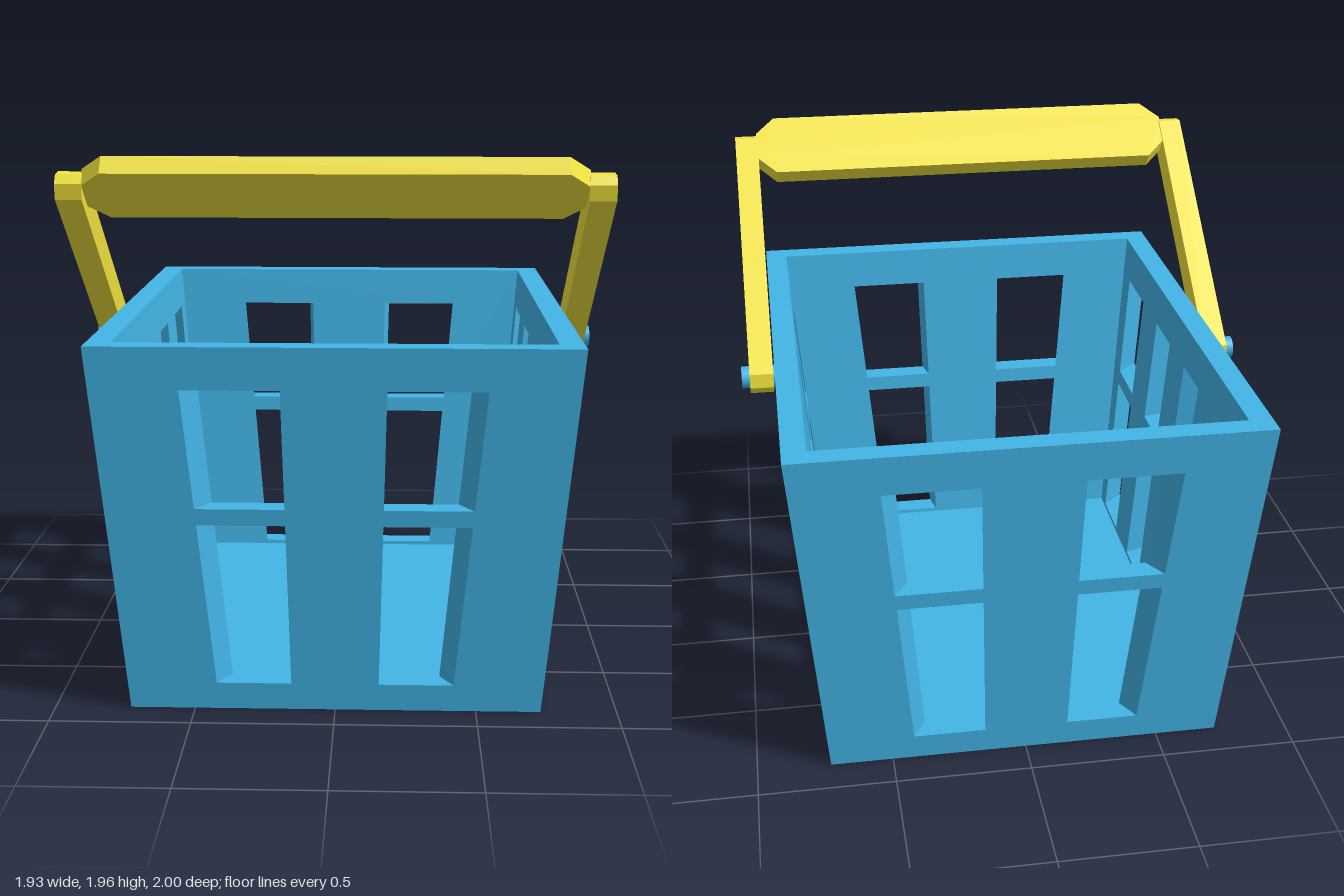
import * as THREE from 'three';

const HEIGHT = 1.335;
const THICK = 0.085;
const blue = new THREE.MeshStandardMaterial({ color: 0x42b4e6 });
const yellow = new THREE.MeshStandardMaterial({ color: 0xf0e23c });

// Outer half sizes of the tapering basket at height y
const halfX = (y) => 0.73 + (0.11 * y) / HEIGHT;
const halfZ = (y) => 0.87 + (0.13 * y) / HEIGHT;

const points = (list) => list.map(([x, y]) => new THREE.Vector2(x, y));

// Wall with window holes, leaned and mitred to fit the tapered basket.
// columns: [u0, u1] at the sill and [u0, u1] at the head of each window column
function makeWall(name, halfWidth, distance, columns) {
  const w0 = halfWidth(0), w1 = halfWidth(HEIGHT);
  const shape = new THREE.Shape(points([[-w0, 0], [w0, 0], [w1, HEIGHT], [-w1, HEIGHT]]));
  const sill = 0.1, head = 1.185;
  for (const [low, high] of columns) {
    const at = (i, y) => THREE.MathUtils.mapLinear(y, sill, head, low[i], high[i]);
    for (const [y0, y1] of [[sill, 0.7], [0.76, head]]) {
      shape.holes.push(new THREE.Path(points([
        [at(0, y0), y0], [at(0, y1), y1], [at(1, y1), y1], [at(1, y0), y0],
      ])));
    }
  }
  const geo = new THREE.ExtrudeGeometry(shape, { depth: 1, bevelEnabled: false });
  const pos = geo.attributes.position;
  for (let i = 0; i < pos.count; i++) {
    const u = pos.getX(i), y = pos.getY(i), inward = 1 - pos.getZ(i);
    const w = halfWidth(y);
    pos.setXYZ(i, (u * (w - THICK * inward)) / w, y, distance(y) - THICK * inward);
  }
  geo.computeVertexNormals();
  const mesh = new THREE.Mesh(geo, blue);
  mesh.name = name;
  return mesh;
}

// Chamfered rectangle extruded and centred on its depth
function chamferedBar(x0, x1, y0, y1, c, depth) {
  const shape = new THREE.Shape(points([
    [x0 + c, y0], [x1 - c, y0], [x1, y0 + c], [x1, y1 - c],
    [x1 - c, y1], [x0 + c, y1], [x0, y1 - c], [x0, y0 + c],
  ]));
  return new THREE.ExtrudeGeometry(shape, { depth, bevelEnabled: false }).translate(0, 0, -depth / 2);
}

export function createModel() {
  const model = new THREE.Group();
  model.name = 'basket';

  // Front and back walls, two window columns each
  const endColumns = [
    [[-0.42, -0.155], [-0.52, -0.18]],
    [[0.155, 0.42], [0.18, 0.52]],
  ];
  const front = makeWall('frontWall', halfX, halfZ, endColumns);
  const back = makeWall('backWall', halfX, halfZ, endColumns);
  back.rotation.y = Math.PI;
  model.add(front, back);

  // Side walls, four window columns each, listed along z
  const sideColumns = [
    [[-0.78, -0.56], [-0.86, -0.62]],
    [[-0.355, -0.145], [-0.375, -0.15]],
    [[0.075, 0.305], [0.09, 0.325]],
    [[0.54, 0.79], [0.58, 0.86]],
  ];
  const flipped = sideColumns.map((c) => c.map(([a, b]) => [-b, -a])).reverse();
  const left = makeWall('leftWall', halfZ, halfX, flipped);
  left.rotation.y = Math.PI / 2;
  const right = makeWall('rightWall', halfZ, halfX, sideColumns);
  right.rotation.y = -Math.PI / 2;
  model.add(left, right);

  // Floor
  const floor = new THREE.Mesh(new THREE.BoxGeometry(1.32, 0.085, 1.6), blue);
  floor.name = 'floor';
  floor.position.y = 0.0425;
  model.add(floor);

  // Handle swung forward about the side pins
  const handle = new THREE.Group();
  handle.name = 'handle';
  handle.position.y = 1.2;
  handle.rotation.x = THREE.MathUtils.degToRad(-38);
  model.add(handle);

  const armGeo = chamferedBar(-0.065, 1.1, -0.057, 0.057, 0.038, 0.09).rotateY(-Math.PI / 2);
  const pinGeo = new THREE.CylinderGeometry(0.042, 0.042, 0.17, 24).rotateZ(Math.PI / 2);
  for (const [side, sign] of [['left', 1], ['right', -1]]) {
    const arm = new THREE.Mesh(armGeo, yellow);
    arm.name = side + 'HandleArm';
    arm.position.x = sign * 0.89;
    handle.add(arm);

    const pin = new THREE.Mesh(pinGeo, blue);
    pin.name = side + 'PivotPin';
    pin.position.set(sign * 0.88, 1.2, -0.01);
    model.add(pin);
  }

  // Grip bar between the arms
  const grip = new THREE.Mesh(
    chamferedBar(-0.85, 0.85, 0.895, 1.163, 0.075, 0.07).rotateX(Math.PI / 2), yellow);
  grip.name = 'grip';
  grip.position.y = 0.015;
  handle.add(grip);

  return model;
}
